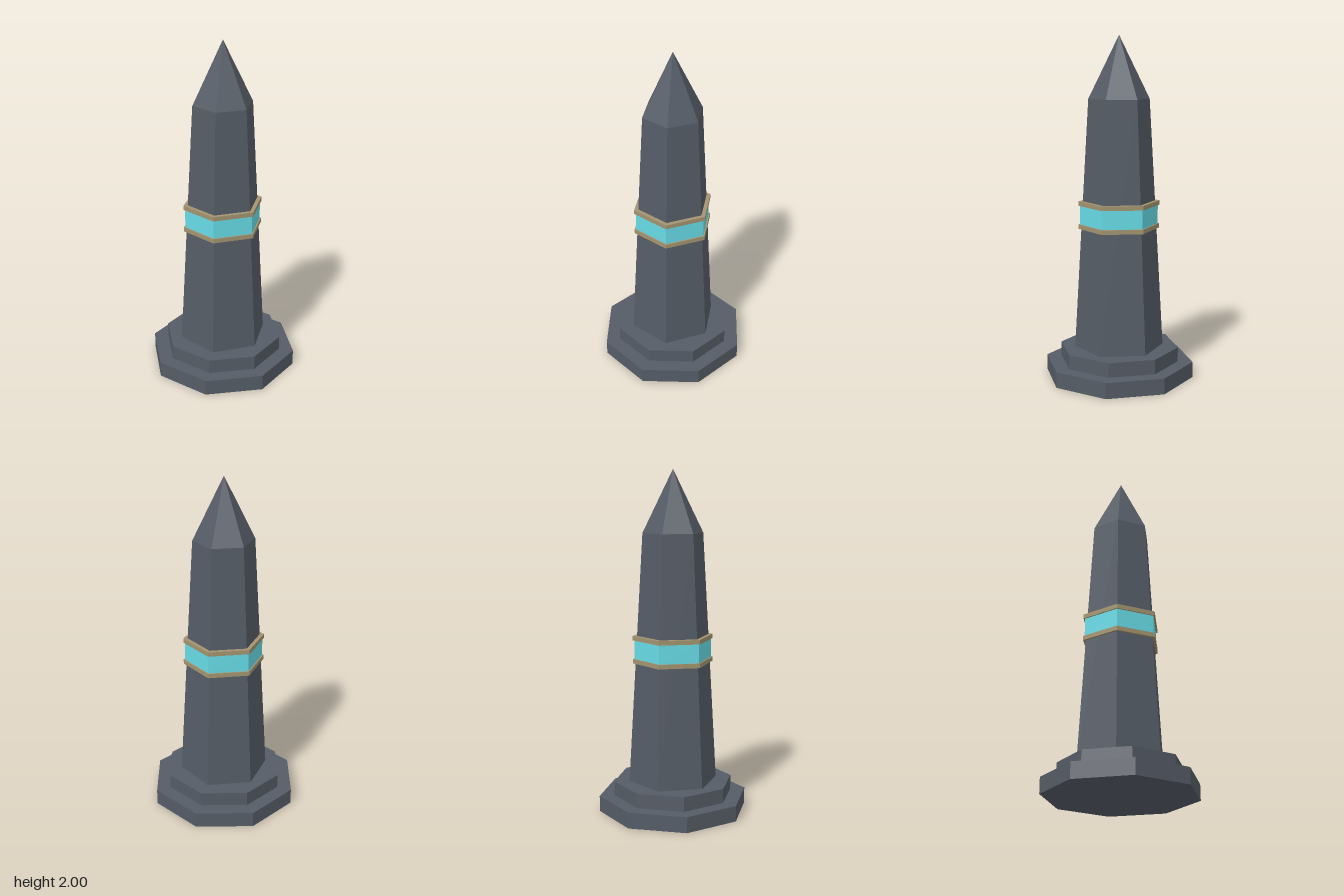
import * as THREE from 'three';

const material = (color) => new THREE.MeshStandardMaterial({ color, flatShading: true });

export function createModel() {
  const group = new THREE.Group();
  const stone = material(0x555c66);
  const gold = material(0xa39470);
  const glow = material(0x67dbe6);

  // Faceted prism or frustum between two heights, one corner facing the front
  function prism(name, sides, bottomRadius, topRadius, y0, y1, mat) {
    const geometry = new THREE.CylinderGeometry(topRadius, bottomRadius, y1 - y0, sides);
    const mesh = new THREE.Mesh(geometry, mat);
    mesh.name = name;
    mesh.position.y = (y0 + y1) / 2;
    group.add(mesh);
  }

  // Stepped octagonal base
  prism('lowerStep', 8, 0.441, 0.441, 0, 0.093, stone);
  prism('upperStep', 8, 0.353, 0.353, 0.093, 0.178, stone);

  // Tapering hexagonal shaft and its pointed cap
  prism('shaft', 6, 0.262, 0.177, 0.178, 1.64, stone);
  const cap = new THREE.Mesh(new THREE.ConeGeometry(0.177, 0.36, 6), stone);
  cap.name = 'cap';
  cap.position.y = 1.82;
  group.add(cap);

  // Bright band held between two trim rings
  prism('glowBand', 6, 0.228, 0.228, 0.912, 1.022, glow);
  prism('lowerTrim', 6, 0.237, 0.237, 0.886, 0.912, gold);
  prism('upperTrim', 6, 0.237, 0.237, 1.022, 1.048, gold);

  return group;
}
